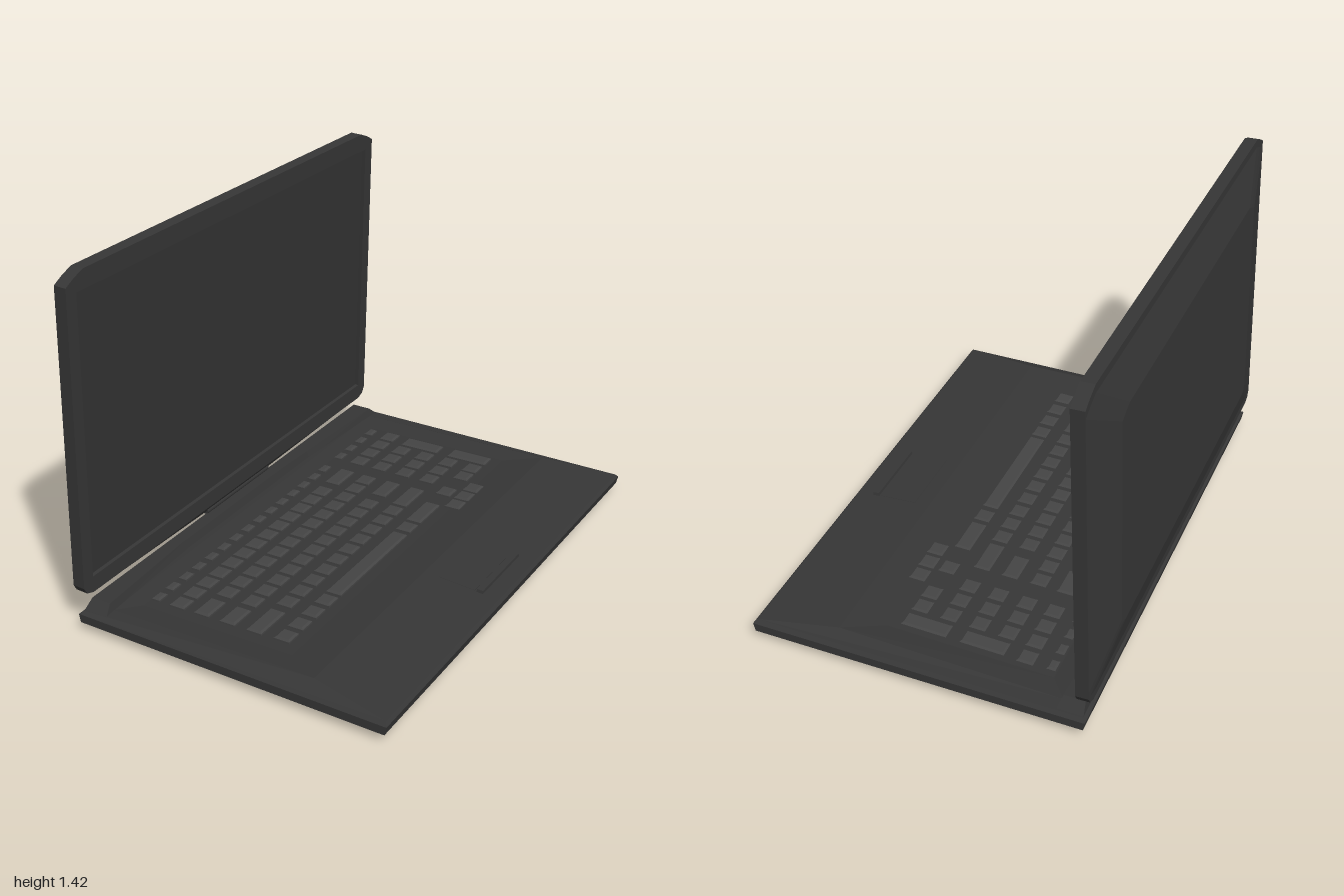
import * as THREE from 'three';

const body = new THREE.MeshStandardMaterial({ color: 0x363636 });
const keyMat = new THREE.MeshStandardMaterial({ color: 0x444444 });
const screenMat = new THREE.MeshStandardMaterial({ color: 0x333333 });

// Skin a stack of rings ([x, y, z] points, anticlockwise seen from the last ring) and cap both ends.
function loft(rings) {
  const pos = [];
  const n = rings[0].length;
  const tri = (a, b, c) => pos.push(...a, ...b, ...c);
  for (let i = 0; i + 1 < rings.length; i++) {
    const lo = rings[i], hi = rings[i + 1];
    for (let j = 0; j < n; j++) {
      const k = (j + 1) % n;
      tri(lo[j], lo[k], hi[k]);
      tri(lo[j], hi[k], hi[j]);
    }
  }
  const first = rings[0], last = rings[rings.length - 1];
  for (let j = 1; j + 1 < n; j++) {
    tri(first[0], first[j + 1], first[j]);
    tri(last[0], last[j], last[j + 1]);
  }
  const g = new THREE.BufferGeometry();
  g.setAttribute('position', new THREE.Float32BufferAttribute(pos, 3));
  g.computeVertexNormals();
  return g;
}

// Rectangle ring facing up; back edge at x0 and height y0, front edge at x1 and height y1.
const rect = (x0, x1, z0, z1, y0, y1 = y0) =>
  [[x0, y0, z1], [x1, y1, z1], [x1, y1, z0], [x0, y0, z0]];

function add(parent, name, geometry, material = body) {
  const mesh = new THREE.Mesh(geometry, material);
  mesh.name = name;
  parent.add(mesh);
  return mesh;
}

function createBase() {
  const base = new THREE.Group();
  base.name = 'base';

  // Chamfered tray rising to a ridge, with a sunken keyboard floor
  add(base, 'baseShell', loft([
    rect(-0.57, 0.60, -0.9, 0.9, 0),
    rect(-0.63, 0.668, -1, 1, 0.036),
    rect(-0.636, 0.676, -1, 1, 0.07),
    rect(-0.625, 0.665, -0.985, 0.985, 0.08, 0.084),
    rect(-0.53, 0.35, -0.93, 0.93, 0.083, 0.105),
    rect(-0.46, 0.2, -0.84, 0.84, 0.076, 0.091),
  ]));

  // Raised rear bar, deeper toward its two ends
  const bar = (y, end, x0, grow) => [
    [x0, y, end], [-0.535 + grow, y, end], [-0.565 + grow, y, 0.45],
    [-0.565 + grow, y, -0.45], [-0.535 + grow, y, -end], [x0, y, -end],
  ];
  add(base, 'rearBar', loft([bar(0.075, 0.985, -0.625, 0.015), bar(0.115, 0.94, -0.617, 0)]));

  // Trackpad and its button bar lie on the sloping palm rest
  const palm = new THREE.Group();
  palm.name = 'trackpad';
  palm.position.set(0.5, 0.0953, -0.012);
  palm.rotation.z = -0.067;
  base.add(palm);
  add(palm, 'trackpadSurface', loft([
    rect(-0.09, 0.065, -0.155, 0.155, -0.004), rect(-0.088, 0.065, -0.153, 0.153, 0.001)]));
  add(palm, 'trackpadButton', loft([
    rect(0.072, 0.102, -0.158, 0.158, -0.005), rect(0.075, 0.099, -0.154, 0.154, 0.011)]));
  return base;
}

function createKeyboard() {
  const keyboard = new THREE.Group();
  keyboard.name = 'keyboard';
  keyboard.position.set(-0.46, 0.076, 0);
  keyboard.rotation.z = Math.atan2(0.015, 0.66);

  const key = (x, z, w, d) => {
    const s = 0.008;
    const mesh = add(keyboard, 'key', loft([
      rect(-w / 2, w / 2, -d / 2, d / 2, -0.004),
      rect(-w / 2, w / 2, -d / 2, d / 2, 0.007),
      rect(-w / 2 + s, w / 2 - s, -d / 2 + s, d / 2 - s, 0.013),
    ]), keyMat);
    mesh.position.set(x + 0.46, 0, z);
  };

  // Each row: x, key width, key length, runs [first z, last z, count], long keys [z start, z end]
  const rows = [
    [-0.437, 0.036, 0.052, [[-0.79, -0.53, 4], [-0.395, 0.77, 15]], []],
    [-0.338, 0.066, 0.066, [[-0.79, -0.53, 4], [-0.217, 0.765, 13]], [[-0.425, -0.295]]],
    [-0.228, 0.066, 0.066, [[-0.70, -0.53, 3], [-0.39, 0.62, 13]], [[0.685, 0.795]]],
    [-0.112, 0.066, 0.066, [[-0.70, -0.53, 3], [-0.217, 0.625, 11]], [[-0.425, -0.30], [0.685, 0.795]]],
    [0.005, 0.066, 0.066, [[-0.70, -0.53, 3], [-0.217, 0.565, 10]], [[-0.425, -0.27], [0.635, 0.795]]],
    [0.122, 0.066, 0.066, [[-0.70, -0.62, 2], [-0.465, -0.465, 1], [-0.127, -0.127, 1], [0.487, 0.757, 4]],
      [[-0.345, -0.18], [-0.07, 0.437]]],
    [0.207, 0.066, 0.066, [[-0.545, -0.386, 3]], []],
  ];
  for (const [x, w, d, runs, longKeys] of rows) {
    for (const [z0, z1, count] of runs)
      for (let i = 0; i < count; i++) key(x, z0 + (z1 - z0) * i / Math.max(1, count - 1), w, d);
    for (const [z0, z1] of longKeys) key(x, (z0 + z1) / 2, w, z1 - z0);
  }
  // Two wide keys that span neighbouring rows
  key(-0.168, -0.785, 0.176, 0.066);
  key(0.065, -0.785, 0.182, 0.066);
  return keyboard;
}

function createLid() {
  const lid = new THREE.Group();
  lid.name = 'lid';
  lid.position.x = -0.605;
  lid.rotation.z = -0.034;

  // Outline with softened corners, as [z, y]
  const half = [[0.95, 0.15], [0.985, 0.163], [1, 0.19], [1, 1.38], [0.96, 1.402], [0.91, 1.422]];
  const outline = [...half, ...half.map(([z, y]) => [-z, y]).reverse()];

  // Bezel with an opening for the screen
  const shape = new THREE.Shape(outline.map(([z, y]) => new THREE.Vector2(z, y)));
  const w = 0.948, y0 = 0.217, y1 = 1.347;
  shape.holes.push(new THREE.Path([[-w, y0], [-w, y1], [w, y1], [w, y0]]
    .map(([z, y]) => new THREE.Vector2(z, y))));
  const bezel = new THREE.ExtrudeGeometry(shape, { depth: 0.05, bevelEnabled: false });
  bezel.translate(0, 0, -0.05).rotateY(Math.PI / 2);
  add(lid, 'bezel', bezel);

  // Recessed screen
  const screen = new THREE.BoxGeometry(0.03, y1 - y0, 2 * w);
  add(lid, 'screen', screen, screenMat).position.set(-0.031, (y0 + y1) / 2, 0);

  // Back cover sloping in to a raised flat panel
  const ring = (x, sz, sy) => outline.map(([z, y]) => [x, 0.786 + (y - 0.786) * sy, z * sz]);
  add(lid, 'backCover', loft([ring(-0.05, 0.998, 0.95), ring(-0.087, 0.77, 0.7)]));
  return lid;
}

export function createModel() {
  const model = new THREE.Group();
  model.name = 'laptop';
  model.add(createBase(), createKeyboard(), createLid());

  // Tapered chin below the lid and the hinge barrel it turns on
  add(model, 'lidChin', loft([
    rect(-0.633, -0.619, -0.22, 0.22, 0.122), rect(-0.65, -0.6, -0.95, 0.95, 0.153)]));
  const hinge = add(model, 'hinge', new THREE.CylinderGeometry(0.013, 0.013, 0.44, 12));
  hinge.rotation.x = Math.PI / 2;
  hinge.position.set(-0.622, 0.122, 0);
  return model;
}
